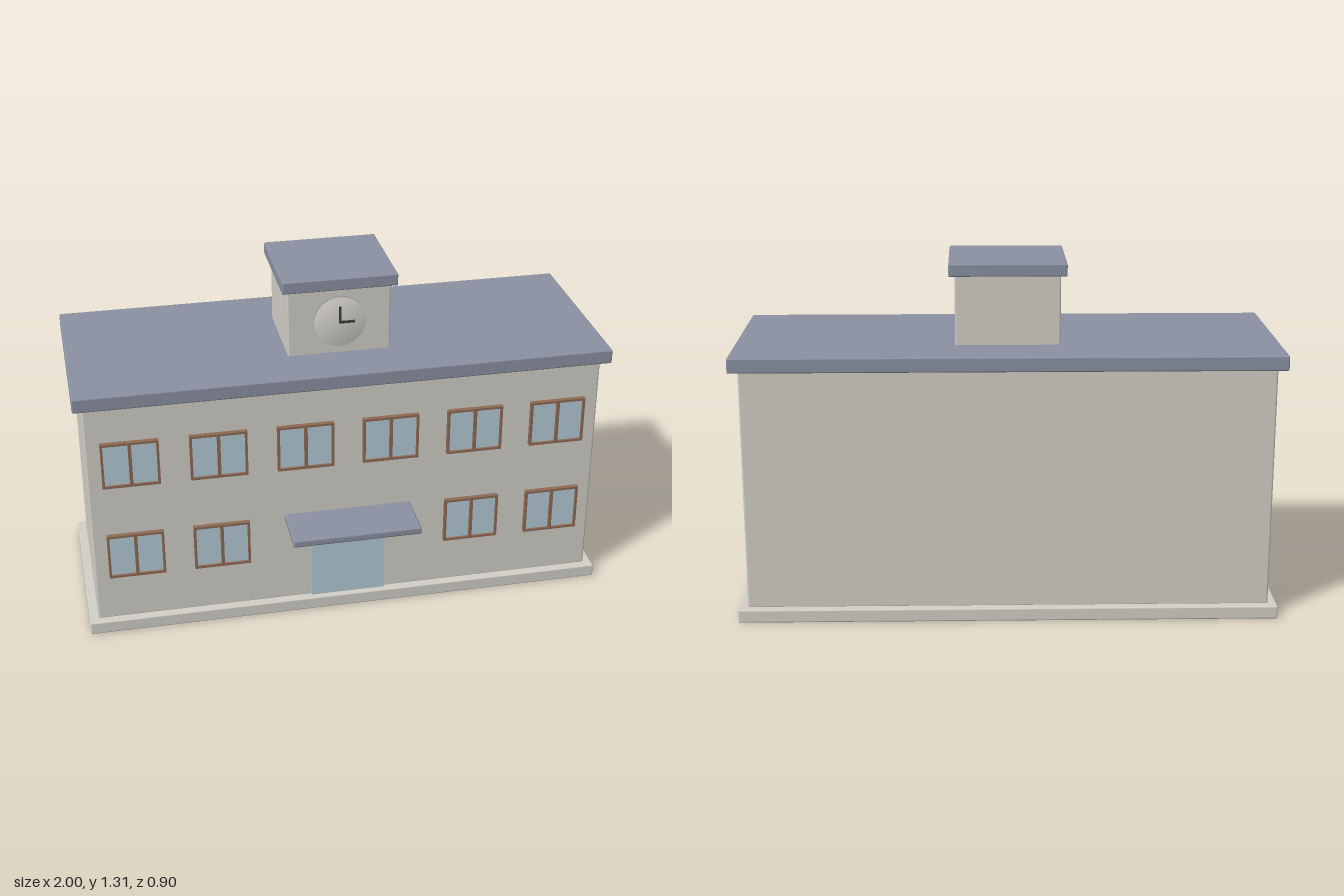
import * as THREE from 'three';
import { mergeVertices } from 'three/addons/utils/BufferGeometryUtils.js';
import { RoundedBoxGeometry } from 'three/addons/geometries/RoundedBoxGeometry.js';

const mat = (name, color) => {
  const m = new THREE.MeshStandardMaterial({ color });
  m.name = name;
  return m;
};

export function createModel() {
  const wall = mat('wall stone', 0xd2cfc7);
  const roof = mat('roof slate', 0x8a91a1);
  const glass = mat('glass blue', 0xb3cad5);
  const wood = mat('frame brown', 0x8f6a55);
  const dark = mat('hand black', 0x3a3a3a);
  const face = mat('clock face', 0xd9d6d0);

  const building = new THREE.Group();
  building.name = 'building';

  // Box given by its minimum and maximum corners, with optional soft edges
  function block(parent, name, material, [x0, y0, z0], [x1, y1, z1], radius = 0) {
    const size = [x1 - x0, y1 - y0, z1 - z0];
    const geo = radius ? new RoundedBoxGeometry(...size, 2, radius) : new THREE.BoxGeometry(...size);
    const mesh = new THREE.Mesh(geo, material);
    mesh.name = name;
    mesh.position.set((x0 + x1) / 2, (y0 + y1) / 2, (z0 + z1) / 2);
    parent.add(mesh);
    return mesh;
  }

  // Main volumes
  block(building, 'plinth', wall, [-1, 0, -0.45], [1, 0.05, 0.29], 0.006);
  block(building, 'mainWalls', wall, [-0.967, 0.045, -0.417], [0.967, 0.96, 0.258], 0.008);
  block(building, 'mainRoof', roof, [-1, 0.95, -0.45], [1, 1.005, 0.29], 0.006);
  block(building, 'towerWalls', wall, [-0.193, 0.99, -0.255], [0.193, 1.27, 0.097], 0.006);
  block(building, 'towerRoof', roof, [-0.215, 1.262, -0.28], [0.215, 1.308, 0.12], 0.005);

  // Entrance
  block(building, 'door', glass, [-0.143, 0.05, 0.25], [0.143, 0.395, 0.268]);
  block(building, 'canopy', roof, [-0.243, 0.392, 0.24], [0.243, 0.422, 0.45], 0.008);

  // Two-pane window with a raised frame, centred on its group
  function addWindow(x, y) {
    const win = new THREE.Group();
    win.name = 'window';
    win.position.set(x, y, 0.258);
    const w = 0.106, h = 0.091, t = 0.009, d = 0.018;
    block(win, 'pane', glass, [-w + t, -h + t, 0], [w - t, h - t, 0.009]);
    for (const s of [-1, 1]) {
      const xs = [s * w, s * (w - t)].sort((a, b) => a - b);
      const ys = [s * h, s * (h - t)].sort((a, b) => a - b);
      block(win, 'frameSide', wood, [xs[0], -h, 0], [xs[1], h, d]);
      block(win, 'frameRail', wood, [-w + t, ys[0], 0], [w - t, ys[1], d]);
    }
    block(win, 'mullion', wood, [-0.006, -h + t, 0], [0.006, h - t, d]);
    building.add(win);
  }
  for (const s of [-1, 1]) {
    for (const x of [0.161, 0.484, 0.807]) {
      addWindow(s * x, 0.714);
      if (x > 0.3) addWindow(s * x, 0.326);
    }
  }

  // Clock: disc with normals blended over its rim
  const clock = new THREE.Group();
  clock.name = 'clock';
  clock.position.set(0, 1.133, 0.097);
  let disc = new THREE.CylinderGeometry(0.097, 0.097, 0.015, 40);
  disc.rotateX(Math.PI / 2);
  disc.deleteAttribute('normal');
  disc.deleteAttribute('uv');
  disc = mergeVertices(disc);
  disc.computeVertexNormals();
  const dial = new THREE.Mesh(disc, face);
  dial.name = 'clockDial';
  dial.position.z = 0.0075;
  clock.add(dial);
  block(clock, 'minuteHand', dark, [-0.004, -0.004, 0.013], [0.004, 0.062, 0.021]);
  block(clock, 'hourHand', dark, [0.004, -0.004, 0.013], [0.055, 0.004, 0.021]);
  building.add(clock);

  return building;
}
